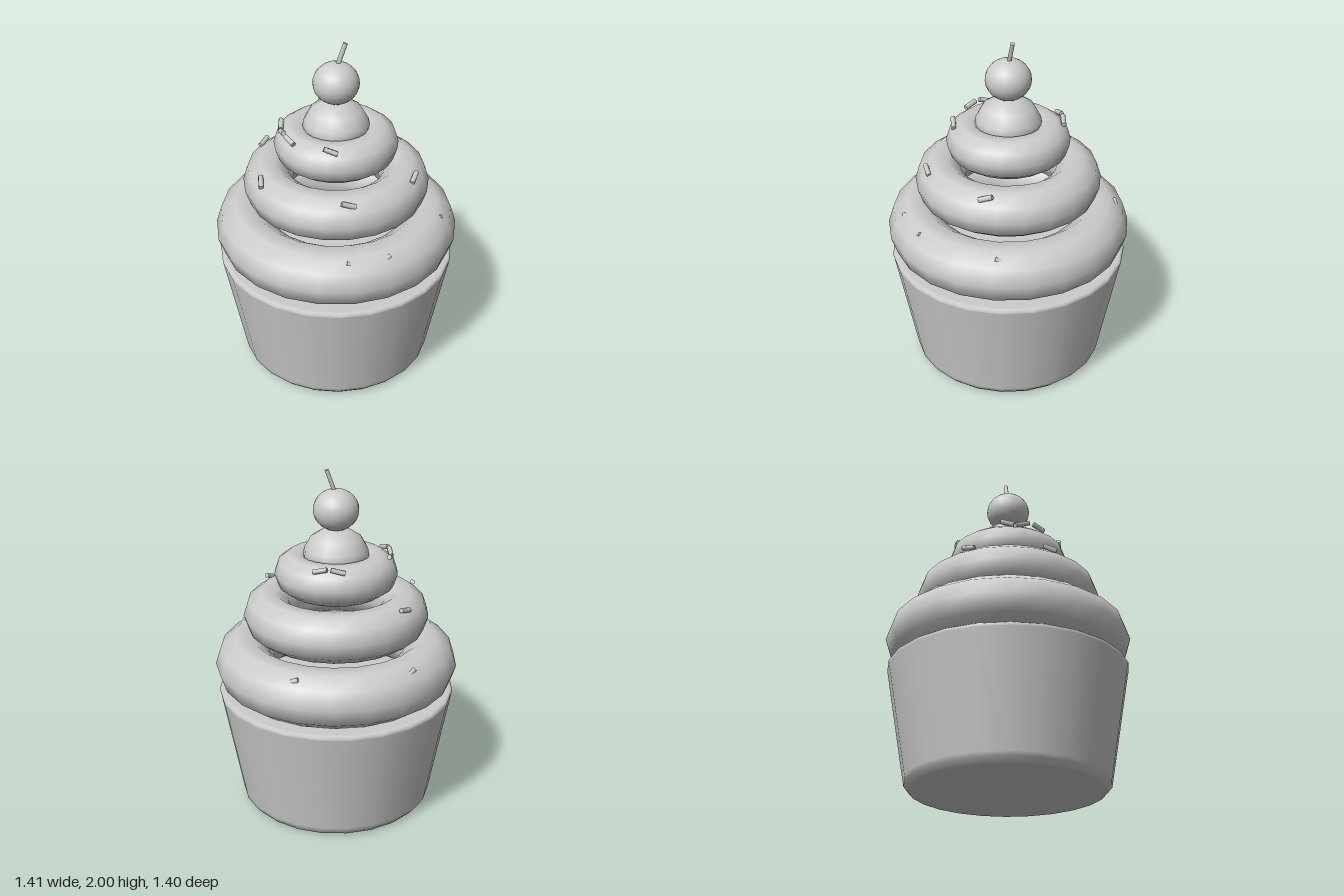
import * as THREE from 'three';

export function createModel() {
  const group = new THREE.Group();
  const clay = new THREE.MeshStandardMaterial({ color: 0xcccccc });
  clay.name = 'plain grey';

  const add = (name, geometry) => {
    const mesh = new THREE.Mesh(geometry, clay);
    mesh.name = name;
    group.add(mesh);
    return mesh;
  };
  const lathe = (points, sides) =>
    new THREE.LatheGeometry(points.map(([r, y]) => new THREE.Vector2(r, y)), sides);

  // Tapered cup with small bevels at the base and rim
  add('cup', lathe([[0, 0], [0.535, 0], [0.545, 0.002], [0.57, 0.03], [0.575, 0.055],
    [0.688, 0.685], [0.692, 0.7], [0.68, 0.71], [0.66, 0.711], [0, 0.711]], 24));

  // Stacked frosting rings: major radius, tube radius, height
  [[0.54, 0.167, 0.87], [0.393, 0.142, 1.165], [0.236, 0.117, 1.41]].forEach(([R, r, y], i) => {
    const ring = add('frostingRing' + (i + 1), new THREE.TorusGeometry(R, r, 10, 22));
    ring.rotation.x = -Math.PI / 2;
    ring.position.y = y;
  });

  // Frosting peak
  add('frostingPeak', lathe([[0, 1.36], [0.1, 1.38], [0.165, 1.43], [0.19, 1.5], [0.183, 1.55],
    [0.145, 1.615], [0.08, 1.655], [0, 1.67]], 14));

  // Cherry and its leaning stem
  const cherry = add('cherry', new THREE.SphereGeometry(0.13, 20, 14));
  cherry.scale.y = 0.91;
  cherry.position.y = 1.773;

  const up = new THREE.Vector3(0, 1, 0);
  const rod = (name, centre, direction, length, radius) => {
    const mesh = add(name, new THREE.CylinderGeometry(radius, radius, length, 6));
    mesh.position.copy(centre);
    mesh.quaternion.setFromUnitVectors(up, direction.normalize());
  };
  rod('stem', new THREE.Vector3(0.03, 1.935, 0), new THREE.Vector3(0.36, 1, 0), 0.135, 0.013);

  // Sprinkles: x, y, z, then direction
  [
    [-0.345, 0.988, -0.52, -0.06, 0.03, 0.06], [0.3, 0.988, -0.55, -0.06, 0.03, -0.025],
    [0.54, 0.988, 0.3, -0.04, 0.03, 0.07], [-0.085, 0.988, 0.61, -0.07, 0.03, -0.015],
    [0.09, 0.988, 0.61, 0.07, 0.03, -0.015],
    [-0.345, 1.285, -0.33, 0.06, 0.02, -0.06], [-0.465, 1.285, 0.11, 0.015, 0.03, -0.075],
    [-0.07, 1.282, 0.47, -0.08, 0.03, -0.01], [0.36, 1.287, 0.31, 0.05, 0.03, -0.06],
    [0.025, 1.515, -0.31, 0.08, 0.02, 0.01], [0.12, 1.515, -0.285, 0.07, -0.02, 0.03],
    [-0.295, 1.515, -0.09, 0.02, 0.02, -0.07], [-0.31, 1.515, 0, 0, 0.025, 0.08],
    [-0.295, 1.515, 0.1, 0.03, -0.02, 0.08], [-0.115, 1.517, 0.285, -0.07, 0.03, -0.025],
  ].forEach(([x, y, z, dx, dy, dz], i) =>
    rod('sprinkle' + (i + 1), new THREE.Vector3(x, y, z), new THREE.Vector3(dx, dy, dz), 0.08, 0.015));

  return group;
}
